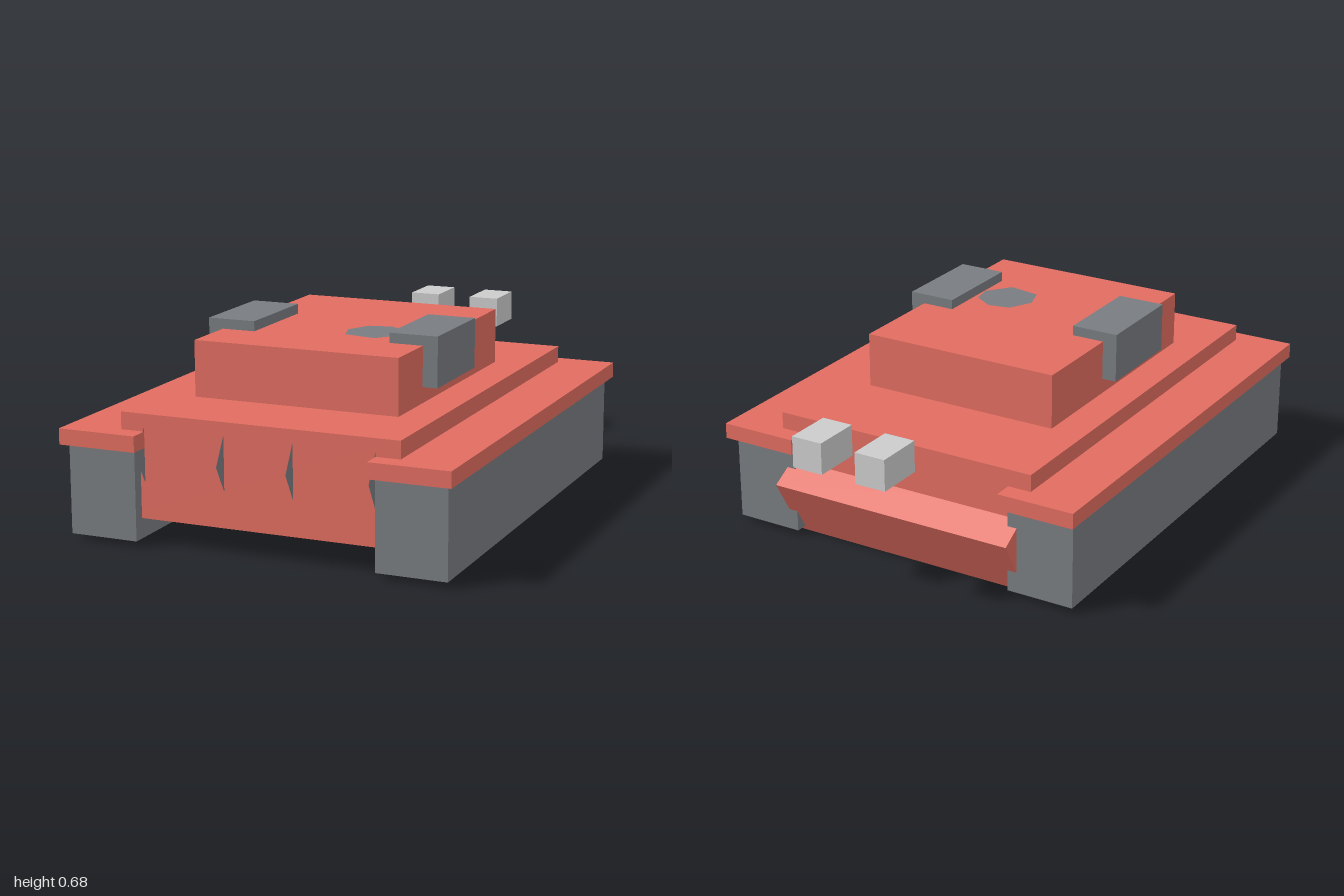
import * as THREE from 'three';

export function createModel() {
  const model = new THREE.Group();
  model.name = 'tank';
  const mat = (color, side = THREE.FrontSide) =>
    new THREE.MeshStandardMaterial({ color, side, flatShading: true });
  const red = mat(0xe06c60);
  const dark = mat(0x787c80);
  const darkThin = mat(0x787c80, THREE.DoubleSide);
  const grey = mat(0xcccccc);

  const add = (name, geometry, material) => {
    const mesh = new THREE.Mesh(geometry, material);
    mesh.name = name;
    model.add(mesh);
    return mesh;
  };
  // Box given by its extents on each axis
  const box = (name, material, [x0, x1], [y0, y1], [z0, z1]) =>
    add(name, new THREE.BoxGeometry(x1 - x0, y1 - y0, z1 - z0), material)
      .position.set((x0 + x1) / 2, (y0 + y1) / 2, (z0 + z1) / 2);

  // Hull and turret
  box('hull', red, [-0.495, 0.495], [0.09, 0.445], [-0.63, 0.93]);
  box('turret', red, [-0.37, 0.37], [0.445, 0.64], [-0.275, 0.645]);

  // Mirrored tracks, fenders, turret pods and rear blocks
  for (const [s, side] of [[1, 'left'], [-1, 'right']]) {
    const mx = (a, b) => (s > 0 ? [a, b] : [-b, -a]);
    box(side + 'Track', dark, mx(0.426, 0.67), [0.02, 0.33], [-0.66, 0.97]);
    box(side + 'Fender', red, mx(0.41, 0.69), [0.33, 0.385], [-0.70, 1.0]);
    box(side + 'TurretPod', dark, mx(0.25, 0.423), [0.5, 0.675], [0.083, 0.435]);
    box(side + 'RearBlock', grey, mx(0.065, 0.178), [0.46, 0.57], [-1.0, -0.827]);
  }

  // Tilted rear plate, sunk into the hull
  const plate = add('rearPlate', new THREE.BoxGeometry(0.92, 0.25, 0.2), red);
  plate.position.set(0, 0.158, -0.581);
  plate.rotation.x = -Math.PI / 6;

  // Flat, uneven hatch on the turret roof (x, z corners)
  const outline = [[0.034, 0.285], [0.077, 0.199], [0.156, 0.183], [0.23, 0.23],
    [0.243, 0.305], [0.178, 0.39], [0.061, 0.368]];
  const hatchShape = new THREE.Shape(outline.map(([x, z]) => new THREE.Vector2(x, -z)));
  const hatch = add('hatch', new THREE.ShapeGeometry(hatchShape), darkThin);
  hatch.rotation.x = -Math.PI / 2;
  hatch.position.y = 0.642;

  // Thin upright discs whose edges show through the hull front
  for (const x of [-0.41, -0.12, 0.125, 0.41]) {
    const disc = add('frontDisc', new THREE.CircleGeometry(0.105, 6), darkThin);
    disc.rotation.y = -Math.PI / 2;
    disc.position.set(x, 0.307, 0.88);
  }
  return model;
}
